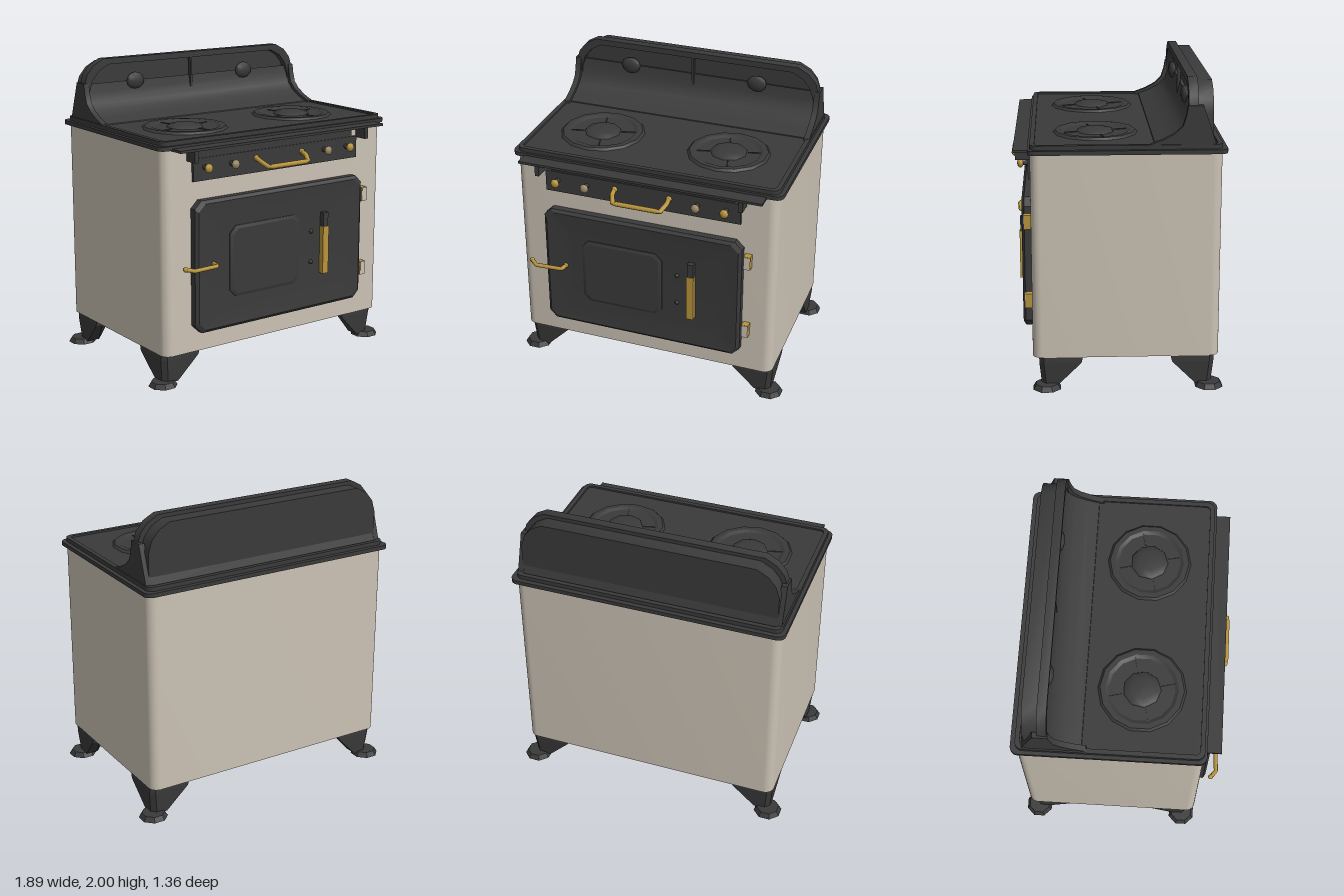
import * as THREE from 'three';
import { toCreasedNormals } from 'three/addons/utils/BufferGeometryUtils.js';
import { ConvexGeometry } from 'three/addons/geometries/ConvexGeometry.js';

const material = (name, color) => {
  const m = new THREE.MeshStandardMaterial({ color });
  m.name = name;
  return m;
};

// Rounded rectangle between two corners
function roundRect(x0, x1, y0, y1, r, Type = THREE.Shape) {
  const s = new Type();
  s.absarc(x1 - r, y1 - r, r, 0, Math.PI / 2);
  s.absarc(x0 + r, y1 - r, r, Math.PI / 2, Math.PI);
  s.absarc(x0 + r, y0 + r, r, Math.PI, Math.PI * 1.5);
  s.absarc(x1 - r, y0 + r, r, Math.PI * 1.5, Math.PI * 2);
  s.closePath();
  return s;
}

// Arched outline of the back panel
function arch(w, top, bottom, Type = THREE.Shape) {
  const half = [[w, bottom], [w, top - 0.18], [w - 0.025, top - 0.1], [w - 0.075, top - 0.04], [w - 0.15, top]];
  const all = [...half, ...half.map(([x, y]) => [-x, y]).reverse()];
  return new Type(all.map(([x, y]) => new THREE.Vector2(x, y)));
}

const extrude = (shape, depth, opts = {}) => new THREE.ExtrudeGeometry(shape,
  { depth, bevelEnabled: false, curveSegments: 5, ...opts });

// Horizontal slab from a plan outline, between y0 and y1
const slab = (shape, y0, y1) => toCreasedNormals(
  extrude(shape, y1 - y0).rotateX(-Math.PI / 2).translate(0, y0, 0), 0.6);

// Stepped panel from chamfered rectangles [x0, x1, y0, y1, chamfer, z], back to front
function steppedPanel(loops) {
  const pos = [], idx = [];
  for (const [a, b, c, d, k, z] of loops) {
    const ring = [[a + k, c], [b - k, c], [b, c + k], [b, d - k], [b - k, d], [a + k, d], [a, d - k], [a, c + k]];
    ring.forEach(([x, y]) => pos.push(x, y, z));
  }
  for (let l = 0; l < loops.length - 1; l++) {
    for (let i = 0; i < 8; i++) {
      const p = l * 8 + i, q = l * 8 + (i + 1) % 8;
      idx.push(p, q, q + 8, p, q + 8, p + 8);
    }
  }
  const e = (loops.length - 1) * 8;
  for (let i = 1; i < 7; i++) idx.push(e, e + i, e + i + 1, 0, i + 1, i);
  const g = new THREE.BufferGeometry();
  g.setAttribute('position', new THREE.Float32BufferAttribute(pos, 3));
  g.setIndex(idx);
  return toCreasedNormals(g, 0.3);
}

export function createModel() {
  const root = new THREE.Group();
  root.name = 'stove';
  const cream = material('cream enamel', 0xcbc2b4);
  const black = material('black iron', 0x3a3a3a);
  const brass = material('brass', 0xb8943c);
  const worn = material('worn brass', 0x9a8a66);

  const add = (name, geo, mat, x = 0, y = 0, z = 0) => {
    const m = new THREE.Mesh(geo, mat);
    m.name = name;
    m.position.set(x, y, z);
    root.add(m);
    return m;
  };
  const box = (name, mat, x0, x1, y0, y1, z0, z1) => add(name,
    new THREE.BoxGeometry(x1 - x0, y1 - y0, z1 - z0), mat, (x0 + x1) / 2, (y0 + y1) / 2, (z0 + z1) / 2);
  const rod = (name, mat, pts, r) => {
    const path = new THREE.CurvePath();
    const v = pts.map(p => new THREE.Vector3(...p));
    for (let i = 1; i < v.length; i++) path.add(new THREE.LineCurve3(v[i - 1], v[i]));
    add(name, new THREE.TubeGeometry(path, 24, r, 8), mat);
    for (const p of [v[0], v[v.length - 1]]) add(name + 'End', new THREE.SphereGeometry(r * 1.25, 8, 6), mat, p.x, p.y, p.z);
  };

  // Body (plan outlines use -z as their y)
  add('body', slab(roundRect(-0.89, 0.885, -0.545, 0.645, 0.06), 0.215, 1.55), cream);

  // Cooktop with a raised rim
  add('cooktopEdge', slab(roundRect(-0.915, 0.912, -0.56, 0.675, 0.05), 1.545, 1.572), black);
  add('cooktop', slab(roundRect(-0.88, 0.875, -0.535, 0.64, 0.04), 1.57, 1.588), black);
  const rim = roundRect(-0.89, 0.885, -0.545, 0.645, 0.05);
  rim.holes.push(roundRect(-0.86, 0.855, -0.515, 0.615, 0.03, THREE.Path));
  add('cooktopRim', slab(rim, 1.57, 1.6), black);

  // Burners: ring, dished plate and domed cap
  for (const [x, r] of [[-0.45, 0.285], [0.43, 0.275]]) {
    const plate = [[0, 1.592], [r * 0.74, 1.592], [r * 0.82, 1.603], [r * 0.94, 1.603], [r, 1.585]];
    add('burner', toCreasedNormals(new THREE.LatheGeometry(
      plate.map(([a, b]) => new THREE.Vector2(a, b)).reverse(), 14), 0.4), black, x, 0, 0.13);
    const cap = [[0.125, 1.585], [0.115, 1.605], [0.07, 1.616], [0, 1.618]];
    add('burnerCap', new THREE.LatheGeometry(cap.map(([a, b]) => new THREE.Vector2(a, b)), 9), black, x, 0, 0.13);
    for (let i = 0; i < 4; i++) {
      const a = i * Math.PI / 2 + 0.25;
      const seam = add('burnerSeam', new THREE.BoxGeometry(0.11, 0.006, 0.008), black,
        x + Math.cos(a) * 0.18, 1.594, 0.13 - Math.sin(a) * 0.18);
      seam.rotation.y = a;
    }
  }

  // Back panel: shell, front frame and the curved sweep down to the cooktop
  add('backPanel', toCreasedNormals(extrude(arch(0.85, 1.97, 1.58), 0.105,
    { bevelSize: 0.03, bevelThickness: 0.03, bevelSegments: 3 }).translate(0, 0, -0.585), 0.7), black);
  const frame = arch(0.875, 1.995, 1.57);
  frame.holes.push(arch(0.835, 1.955, 1.58, THREE.Path));
  add('backPanelFrame', toCreasedNormals(extrude(frame, 0.06,
    { bevelSize: 0.005, bevelThickness: 0.01, bevelSegments: 2 }).translate(0, 0, -0.49), 0.5), black);
  const sweep = (name, x0, x1, inset) => {
    const pts = [[-0.19, 1.575], [-0.2, 1.602], [-0.28, 1.632], [-0.35, 1.67], [-0.395, 1.715], [-0.415, 1.78], [-0.425, 1.84]]
      .map(([z, y]) => new THREE.Vector2(-z + inset, y - inset * 0.3));
    pts.push(new THREE.Vector2(0.52, 1.84 - inset), new THREE.Vector2(0.61, 1.575));
    const g = extrude(new THREE.Shape(pts), x1 - x0).rotateY(Math.PI / 2).translate(x0, 0, 0);
    add(name, toCreasedNormals(g, 0.6), black);
  };
  sweep('backSweep', -0.85, 0.85, 0.028);
  sweep('backCheekRight', -0.88, -0.842, 0);
  sweep('backCheekLeft', 0.842, 0.88, 0);
  box('backSeam', black, -0.024, -0.008, 1.64, 1.97, -0.46, -0.435);
  for (const x of [-0.47, 0.44]) {
    add('backKnob', new THREE.SphereGeometry(0.07, 9, 6), black, x, 1.83, -0.445).scale.set(1, 0.82, 0.4);
  }

  // Narrow shelf and its brackets
  box('shelf', black, -0.83, 0.81, 1.54, 1.556, 0.54, 0.65);
  for (const x of [-0.705, 0.67]) {
    box('shelfBracket', black, x - 0.014, x + 0.014, 1.465, 1.545, 0.54, 0.64);
  }

  // Control strip with knobs and handle
  box('controlBacking', black, -0.64, 0.61, 1.46, 1.545, 0.54, 0.556);
  box('controlStrip', black, -0.68, 0.65, 1.33, 1.475, 0.54, 0.562);
  for (const [x, mat] of [[-0.595, brass], [-0.39, worn], [0.365, worn], [0.555, brass]]) {
    add('knobStem', new THREE.CylinderGeometry(0.014, 0.018, 0.05, 8).rotateX(Math.PI / 2), black, x, 1.415, 0.58);
    add('knob', new THREE.SphereGeometry(0.03, 8, 6), mat, x, 1.415, 0.61).scale.z = 0.7;
  }
  rod('stripHandle', brass, [[-0.195, 1.425, 0.565], [-0.195, 1.41, 0.61], [-0.17, 1.38, 0.665],
    [0.15, 1.38, 0.665], [0.175, 1.41, 0.61], [0.175, 1.425, 0.565]], 0.016);

  // Oven door with a bevelled frame and raised centre plate
  add('ovenDoor', steppedPanel([
    [-0.69, 0.675, 0.345, 1.21, 0.05, 0.54], [-0.69, 0.675, 0.345, 1.21, 0.05, 0.59],
    [-0.67, 0.655, 0.365, 1.19, 0.05, 0.606], [-0.53, 0.51, 0.475, 1.075, 0.03, 0.592]]), black);
  add('doorPlate', steppedPanel([
    [-0.425, 0.135, 0.545, 1.015, 0.045, 0.585], [-0.425, 0.135, 0.545, 1.015, 0.045, 0.598],
    [-0.405, 0.115, 0.565, 0.995, 0.04, 0.606]]), black);
  for (const y of [0.88, 0.67]) add('doorScrew', new THREE.SphereGeometry(0.015, 8, 6), black, 0.24, y, 0.594);
  box('doorGrip', brass, 0.317, 0.365, 0.58, 0.905, 0.585, 0.63);
  box('doorGripTop', black, 0.32, 0.362, 0.9, 1.0, 0.585, 0.625);
  for (const y of [0.545, 1.07]) {
    box('hinge', brass, 0.685, 0.73, y - 0.047, y + 0.047, 0.54, 0.59);
    box('hingeFace', cream, 0.687, 0.728, y - 0.045, y + 0.045, 0.588, 0.594);
  }
  rod('doorLatch', brass, [[-0.55, 0.79, 0.6], [-0.56, 0.79, 0.65], [-0.74, 0.79, 0.66], [-0.785, 0.8, 0.625]], 0.014);

  // Legs: tapered corner brackets on flared feet
  const sections = [[0.218, 0.28, 0.05], [0.175, 0.27, 0.05], [0.05, 0.105, 0.09], [0.02, 0.105, 0.09]];
  for (const sx of [-1, 1]) {
    for (const [sz, outer, footZ] of [[1, 0.505, 0.457], [-1, 0.615, 0.585]]) {
      const pts = [];
      for (const [y, w, t] of sections) {
        const o = y < 0.1 ? 0.015 : 0;
        for (const [a, b] of [[0.03, 0], [w, 0], [w, t], [t, w], [0, w], [0, 0.03]]) {
          pts.push(new THREE.Vector3(sx * (0.88 - o - a), y, sz * (outer - o - b)));
        }
      }
      add('leg', new ConvexGeometry(pts), black);
      const foot = new THREE.CylinderGeometry(0.075, 0.095, 0.032, 8).rotateY(Math.PI / 8);
      add('foot', toCreasedNormals(foot, 0.5), black, sx * 0.855, 0.016, sz * footZ);
    }
  }
  return root;
}
